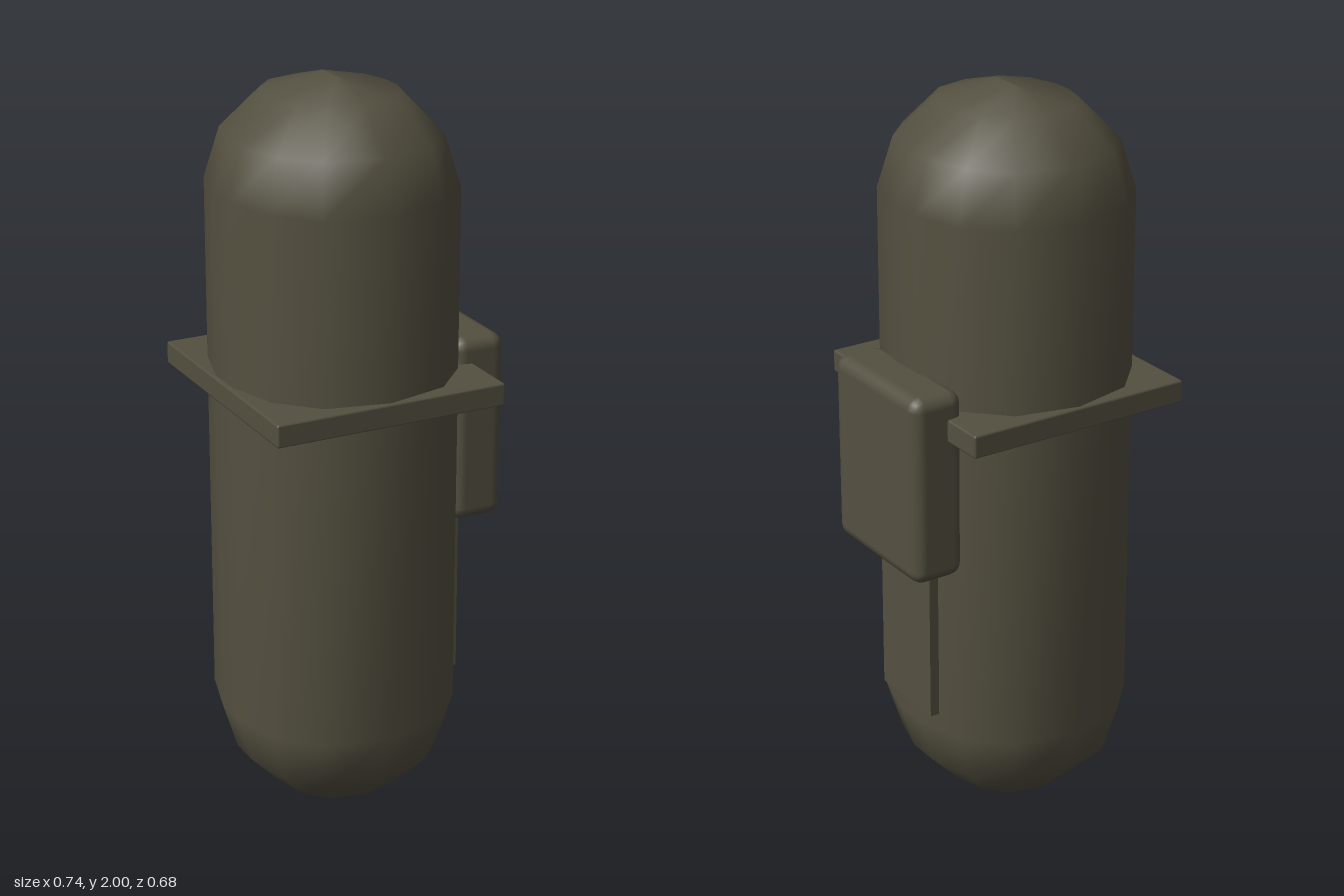
import * as THREE from 'three';
import { RoundedBoxGeometry } from 'three/addons/geometries/RoundedBoxGeometry.js';

// Quarter outline of the body, mirrored into a closed 14-sided loop of [x, z]
function bodyOutline() {
  const q = [[0.17, 0.293], [0.27, 0.19], [0.31, 0.05]];
  const right = [[0, 0.333], ...q, ...q.map(([x, z]) => [x, -z]).reverse()];
  return [...right, ...right.map(([x, z]) => [-x, -z])];
}

// Capsule made from scaled copies of the outline: [y, x scale, z scale]
function bodyGeometry() {
  const end = [[0, 0, 0.15], [0.04, 0.55, 0.57], [0.145, 0.87, 0.88], [0.28, 1, 1]];
  const rings = [...end, ...end.map(([y, sx, sz]) => [2 - y, sx, sz]).reverse()];
  const outline = bodyOutline();
  const n = outline.length;
  const positions = [];
  const index = [];
  for (const [y, sx, sz] of rings) {
    for (const [x, z] of outline) positions.push(x * sx, y, z * sz);
  }
  for (let i = 0; i < rings.length - 1; i++) {
    for (let j = 0; j < n; j++) {
      const a = i * n + j;
      const b = i * n + ((j + 1) % n);
      index.push(a, b, b + n, a, b + n, a + n);
    }
  }
  const geometry = new THREE.BufferGeometry();
  geometry.setAttribute('position', new THREE.Float32BufferAttribute(positions, 3));
  geometry.setIndex(index);
  geometry.computeVertexNormals();
  return geometry;
}

export function createModel() {
  const model = new THREE.Group();
  model.name = 'capsuleWithPouch';
  const olive = new THREE.MeshStandardMaterial({ color: 0x545040 });
  olive.name = 'dark olive';

  const add = (name, geometry, x, y, z) => {
    const mesh = new THREE.Mesh(geometry, olive);
    mesh.name = name;
    mesh.position.set(x, y, z);
    model.add(mesh);
  };

  // Rounded capsule body
  add('body', bodyGeometry(), -0.05, 0, 0);

  // Square plate around the middle
  add('belt', new RoundedBoxGeometry(0.645, 0.062, 0.684, 1, 0.006), -0.049, 1.203, 0);

  // Soft-edged pouch on the side
  add('pouch', new RoundedBoxGeometry(0.148, 0.515, 0.395, 2, 0.035), 0.297, 1.043, -0.021);

  // Flat strap hanging below the pouch
  add('strap', new THREE.BoxGeometry(0.034, 0.56, 0.236), 0.251, 0.61, 0.002);

  return model;
}
